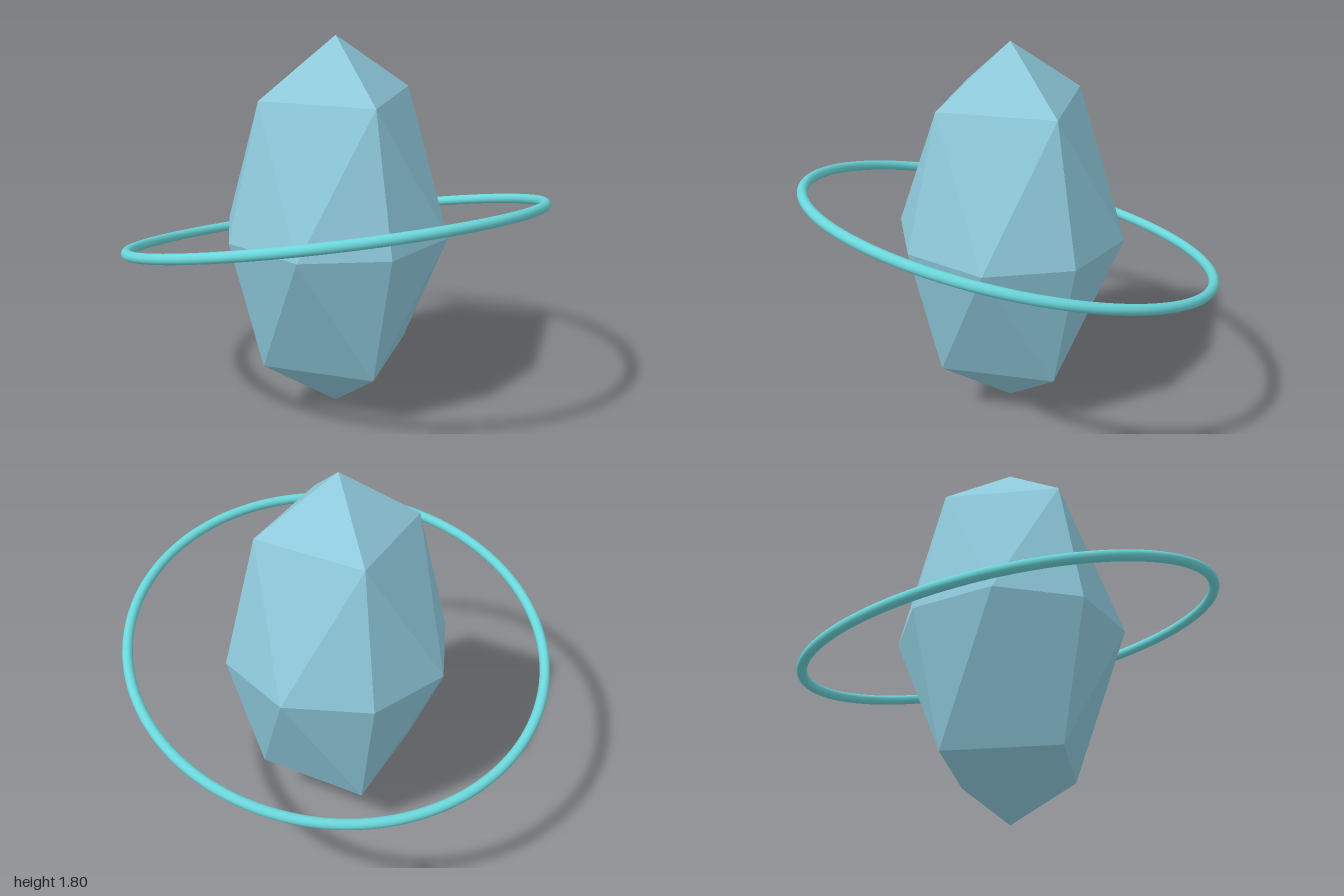
import * as THREE from 'three';

export function createModel() {
  const group = new THREE.Group();
  const crystalBlue = new THREE.MeshStandardMaterial({ color: 0x8fcadc });
  crystalBlue.name = 'crystalBlue';
  const ringTurquoise = new THREE.MeshStandardMaterial({ color: 0x6bd7db });
  ringTurquoise.name = 'ringTurquoise';

  const centreY = 0.9;

  // Faceted crystal: an octahedron divided once and stretched upwards
  const crystalGeometry = new THREE.OctahedronGeometry(1, 1);
  crystalGeometry.scale(0.539, 0.9, 0.539);
  crystalGeometry.computeVertexNormals(); // unshared corners, so facets stay flat
  const crystal = new THREE.Mesh(crystalGeometry, crystalBlue);
  crystal.name = 'crystal';
  crystal.position.y = centreY;
  group.add(crystal);

  // Thin floating ring, tilted so the front is higher than the back
  const ring = new THREE.Mesh(new THREE.TorusGeometry(0.976, 0.024, 16, 128), ringTurquoise);
  ring.name = 'orbitRing';
  ring.position.y = centreY + 0.005;
  ring.rotation.x = THREE.MathUtils.degToRad(90 - 15);
  group.add(ring);

  return group;
}
